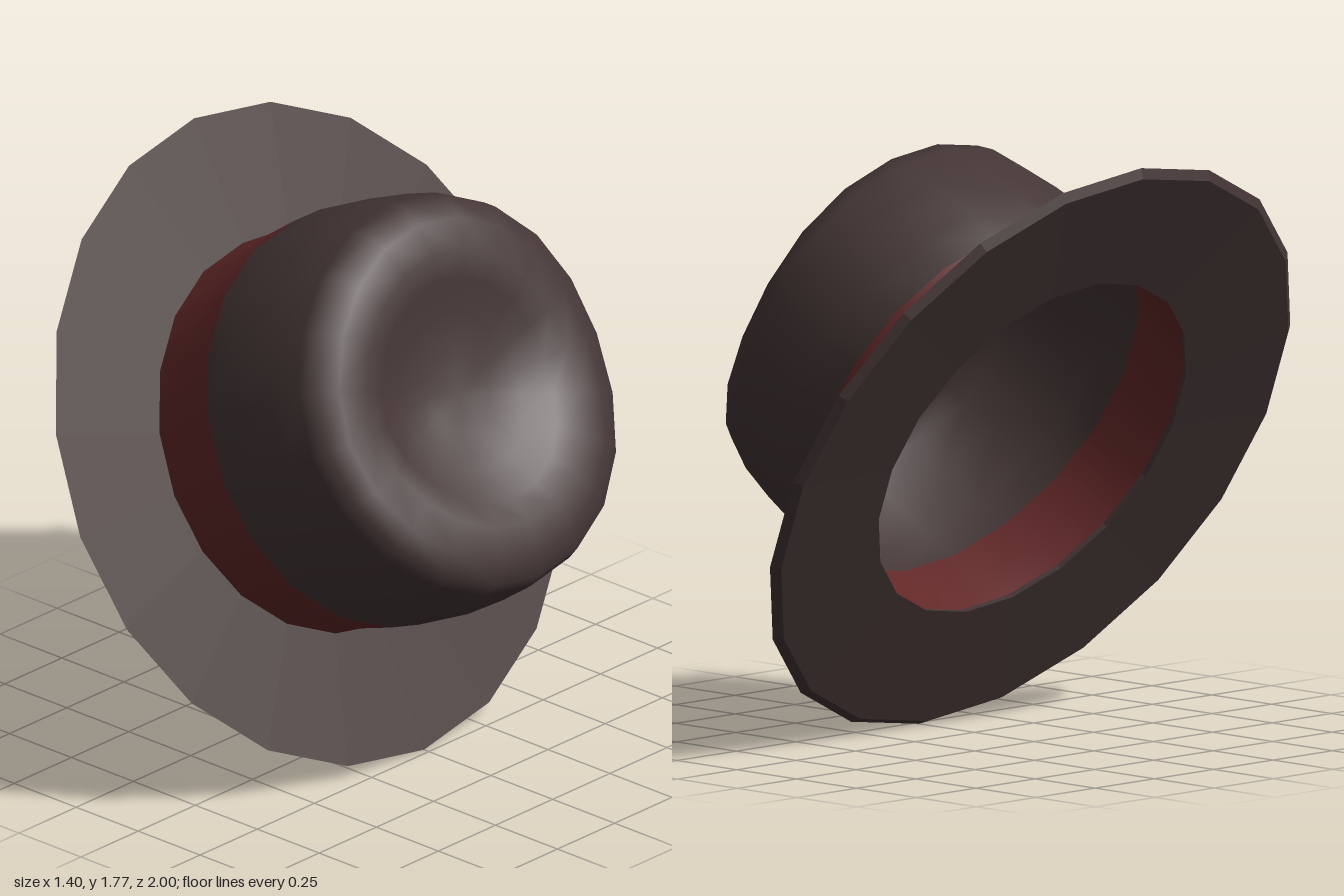
import * as THREE from 'three';
import { mergeVertices } from 'three/addons/utils/BufferGeometryUtils.js';

const SIDES = 20;
const felt = new THREE.MeshStandardMaterial({ color: 0x453636, side: THREE.DoubleSide });
const feltFlat = new THREE.MeshStandardMaterial({ color: 0x453636, flatShading: true });
const ribbon = new THREE.MeshStandardMaterial({ color: 0x632828, side: THREE.DoubleSide });

// Spin a [radius, height] profile around the hat's axis
function spin(profile) {
  return new THREE.LatheGeometry(profile.map(([r, h]) => new THREE.Vector2(r, h)), SIDES);
}

function part(name, geometry, material) {
  const mesh = new THREE.Mesh(geometry, material);
  mesh.name = name;
  return mesh;
}

// Dented crown: the sides of the rim dip below its two ends
function crownGeometry() {
  let geo = spin([
    [0.628, 0.265], [0.641, 0.39], [0.627, 0.56], [0.608, 0.69], [0.585, 0.745],
    [0.52, 0.772], [0.42, 0.784], [0.34, 0.757], [0.24, 0.714], [0.12, 0.692], [0, 0.685],
  ]);
  const p = geo.attributes.position;
  for (let i = 0; i < p.count; i++) {
    const r = Math.hypot(p.getX(i), p.getZ(i));
    if (r < 0.01) continue;
    const side = Math.pow(p.getZ(i) / r, 4);
    const rise = THREE.MathUtils.smoothstep(p.getY(i), 0.4, 0.7);
    const inward = THREE.MathUtils.smoothstep(r, 0, 0.4);
    p.setY(i, p.getY(i) - 0.042 * side * rise * inward);
  }
  // Weld the seam so the shading stays smooth all round
  geo.deleteAttribute('uv');
  geo.deleteAttribute('normal');
  geo = mergeVertices(geo, 1e-4);
  geo.computeVertexNormals();
  return geo;
}

export function createModel() {
  const hat = new THREE.Group();
  hat.name = 'hat';

  // Thin flat brim with an open centre
  hat.add(part('brim', spin([
    [0.59, -0.008], [0.975, -0.02], [1, 0.002], [0.6, 0.016], [0.59, -0.008],
  ]), feltFlat));

  // Ribbon band, flaring slightly towards the crown
  hat.add(part('band', spin([[0.602, 0], [0.608, 0.135], [0.628, 0.265]]), ribbon));

  hat.add(part('crown', crownGeometry(), felt));

  // Rest the hat on the edge of its brim
  hat.rotation.z = -THREE.MathUtils.degToRad(62.35);
  hat.position.set(-0.235, 0.887, 0);

  const model = new THREE.Group();
  model.name = 'tiltedHat';
  model.add(hat);
  return model;
}
